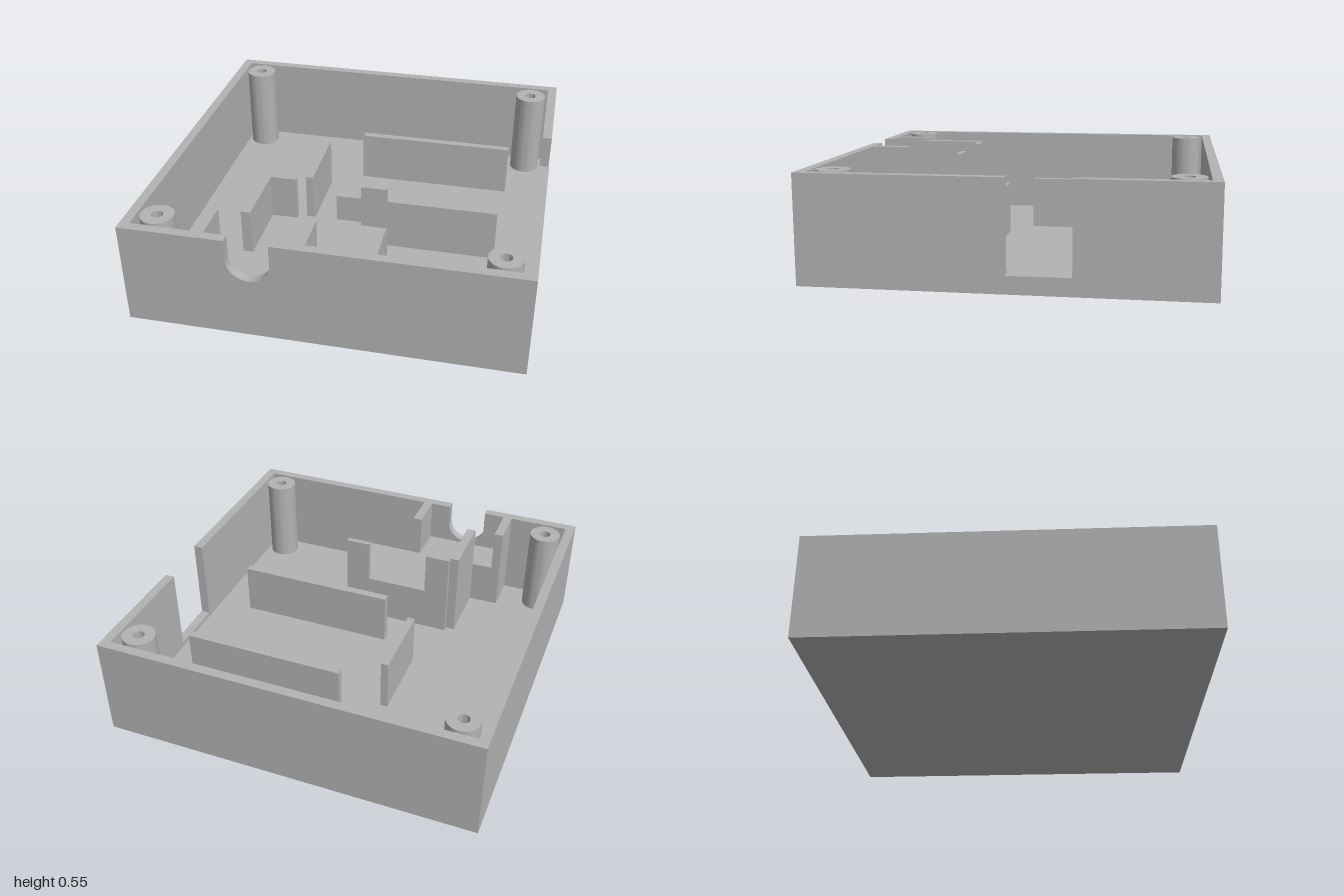
import * as THREE from 'three';
import { toCreasedNormals } from 'three/addons/utils/BufferGeometryUtils.js';

const H = 0.55;      // rim height
const WALL = 0.05;   // wall thickness
const FLOOR = 0.065; // floor thickness
const RIB_TOP = 0.35;
const DECK = 0.315;  // raised platform height

export function createModel() {
  const model = new THREE.Group();
  const grey = new THREE.MeshStandardMaterial({ color: 0xb2b2b2 });
  grey.name = 'plainGrey';

  function add(name, geometry) {
    const mesh = new THREE.Mesh(geometry, grey);
    mesh.name = name;
    model.add(mesh);
    return mesh;
  }

  // box given by its limits on each axis
  function block(name, x0, x1, y0, y1, z0, z1) {
    const mesh = add(name, new THREE.BoxGeometry(x1 - x0, y1 - y0, z1 - z0));
    mesh.position.set((x0 + x1) / 2, (y0 + y1) / 2, (z0 + z1) / 2);
  }

  function extrude(shape, depth) {
    return toCreasedNormals(
      new THREE.ExtrudeGeometry(shape, { depth, bevelEnabled: false, curveSegments: 32 }), 0.6);
  }

  function polygon(points) {
    return new THREE.Shape(points.map(([x, y]) => new THREE.Vector2(x, y)));
  }

  // tray floor and the two plain walls
  const inner = 1 - WALL;
  block('floor', -1, 1, 0, FLOOR, -1, 1);
  block('backWall', -1, 1, FLOOR, H, -1, -inner);
  block('rightWall', -1, -inner, FLOOR, H, -inner, inner);

  // front wall with a round-bottomed cable slot
  const front = new THREE.Shape();
  front.moveTo(-1, FLOOR);
  front.lineTo(1, FLOOR);
  front.lineTo(1, H);
  front.lineTo(-0.24, H);
  front.lineTo(-0.24, 0.44);
  front.absarc(-0.35, 0.44, 0.11, 0, -Math.PI, true);
  front.lineTo(-0.46, H);
  front.lineTo(-1, H);
  front.closePath();
  add('frontWall', extrude(front, WALL)).position.z = inner;

  // side wall with a square connector opening, drawn with -z along shape x
  const side = polygon([
    [-inner, FLOOR], [inner, FLOOR], [inner, H], [0.33, H],
    [0.33, 0.09], [0.015, 0.09], [0.015, H], [-inner, H],
  ]);
  const leftWall = add('leftWall', extrude(side, WALL));
  leftWall.rotation.y = Math.PI / 2;
  leftWall.position.x = inner;

  // hollow screw posts in the corners
  const ring = new THREE.Shape().absarc(0, 0, 0.085, 0, Math.PI * 2);
  ring.holes.push(new THREE.Path().absarc(0, 0, 0.03, 0, Math.PI * 2, true));
  const postGeometry = extrude(ring, H - FLOOR);
  for (const x of [-0.85, 0.85]) {
    for (const z of [-0.85, 0.85]) {
      const post = add('screwPost', postGeometry);
      post.rotation.x = -Math.PI / 2;
      post.position.set(x, FLOOR, z);
    }
  }

  // low ribs that locate a circuit board
  block('backRib', -0.11, 0.76, FLOOR, RIB_TOP, -0.545, -0.505);
  block('frontRib', -0.11, 0.76, FLOOR, RIB_TOP, 0.15, 0.195);
  block('sideRib', -0.325, -0.285, FLOOR, RIB_TOP, -0.39, 0.04);

  // raised platform behind the cable slot, plan drawn with -z along shape y
  const plan = polygon([
    [-0.625, -inner], [-0.075, -inner], [-0.075, -0.74], [0.205, -0.74],
    [0.205, -0.365], [-0.41, -0.365], [-0.41, -0.74], [-0.625, -0.74],
  ]);
  const platform = add('platform', extrude(plan, DECK - FLOOR));
  platform.rotation.x = -Math.PI / 2;
  platform.position.y = FLOOR;

  // full-height guides around the platform
  block('platformSideWall', -0.46, -0.41, FLOOR, H, 0.395, 0.74);
  block('backTab', -0.41, -0.275, DECK, H, 0.365, 0.395);
  block('backTab', 0.07, 0.205, DECK, H, 0.365, 0.395);
  block('slotGuide', -0.625, -0.575, DECK, H, 0.74, inner);
  block('slotGuide', -0.125, -0.075, DECK, H, 0.74, inner);

  return model;
}
